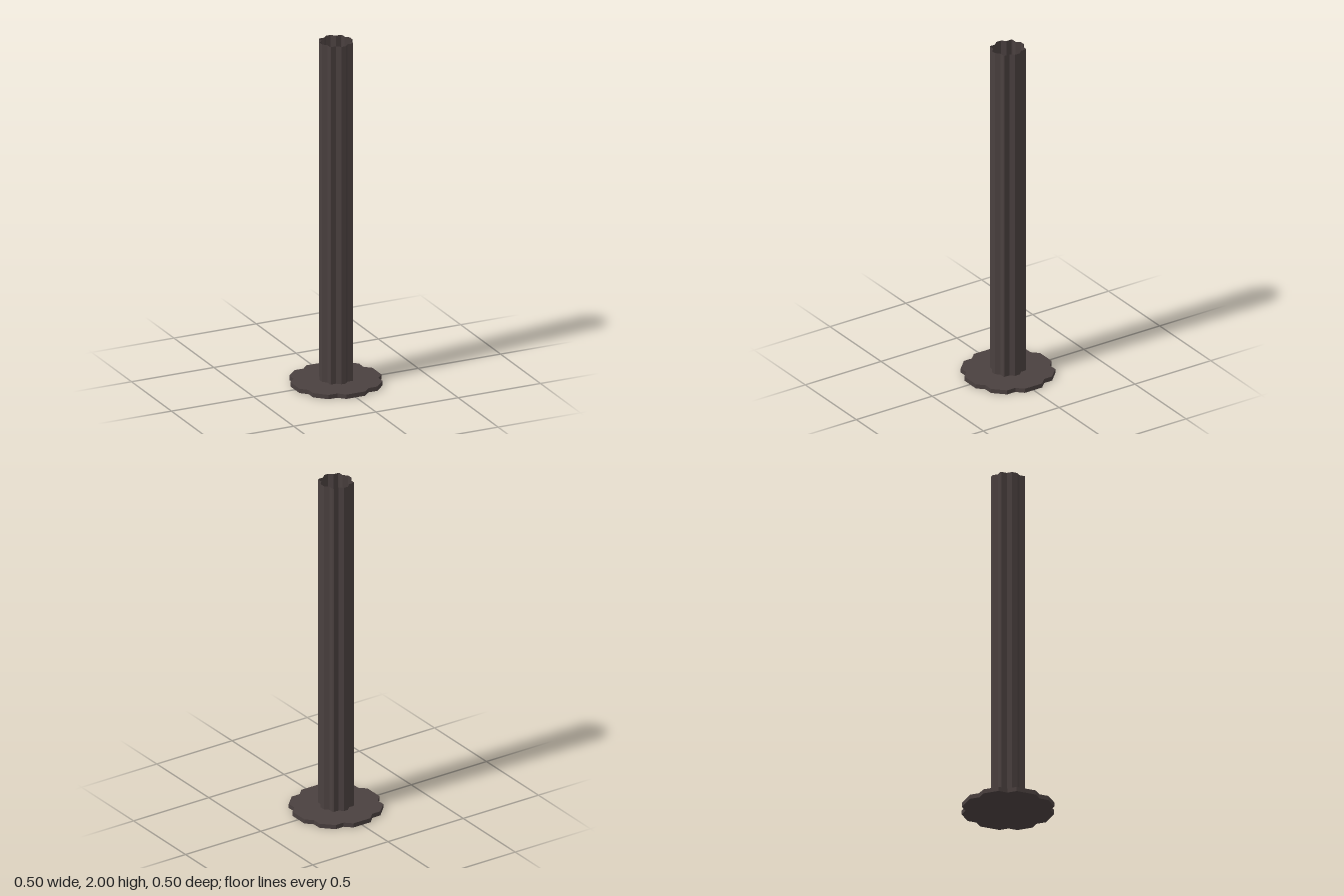
import * as THREE from 'three';

const HEIGHT = 2;
const BASE_THICKNESS = 0.025;

// Mirrors one quadrant (from +x round to +y) into a full counter-clockwise outline
function mirrorQuadrant(quadrant) {
  const back = [...quadrant].reverse();
  return [
    ...quadrant,
    ...back.map(([x, y]) => [-x, y]),
    ...quadrant.map(([x, y]) => [-x, -y]),
    ...back.map(([x, y]) => [x, -y]),
  ].map(([x, y]) => new THREE.Vector2(x, y));
}

// Open tube with flat facets, standing on an outline between two heights
function wallGeometry(outline, bottom, top) {
  const positions = [];
  outline.forEach((a, i) => {
    const b = outline[(i + 1) % outline.length];
    positions.push(
      a.x, bottom, -a.y, b.x, bottom, -b.y, b.x, top, -b.y,
      a.x, bottom, -a.y, b.x, top, -b.y, a.x, top, -a.y,
    );
  });
  const geometry = new THREE.BufferGeometry();
  geometry.setAttribute('position', new THREE.Float32BufferAttribute(positions, 3));
  geometry.computeVertexNormals();
  return geometry;
}

export function createModel() {
  const model = new THREE.Group();
  model.name = 'flutedColumn';

  const darkMetal = new THREE.MeshStandardMaterial({ color: 0x4a403f, side: THREE.DoubleSide });
  darkMetal.name = 'darkMetal';

  // Scalloped foot plate
  const baseOutline = mirrorQuadrant([
    [0.25, 0.057], [0.212, 0.095], [0.212, 0.148],
    [0.148, 0.212], [0.095, 0.212], [0.057, 0.25],
  ]);
  const baseGeometry = new THREE.ExtrudeGeometry(new THREE.Shape(baseOutline), {
    depth: BASE_THICKNESS, bevelEnabled: false,
  });
  baseGeometry.rotateX(-Math.PI / 2);
  const base = new THREE.Mesh(baseGeometry, darkMetal);
  base.name = 'basePlate';
  model.add(base);

  // Hollow shaft, open at the top
  const shaftOutline = mirrorQuadrant([
    [0.092, 0.016], [0.0705, 0.038], [0.0705, 0.069],
    [0.066, 0.074], [0.035, 0.074], [0.013, 0.096],
  ]);
  const shaft = new THREE.Mesh(wallGeometry(shaftOutline, BASE_THICKNESS, HEIGHT), darkMetal);
  shaft.name = 'shaft';
  model.add(shaft);

  return model;
}
